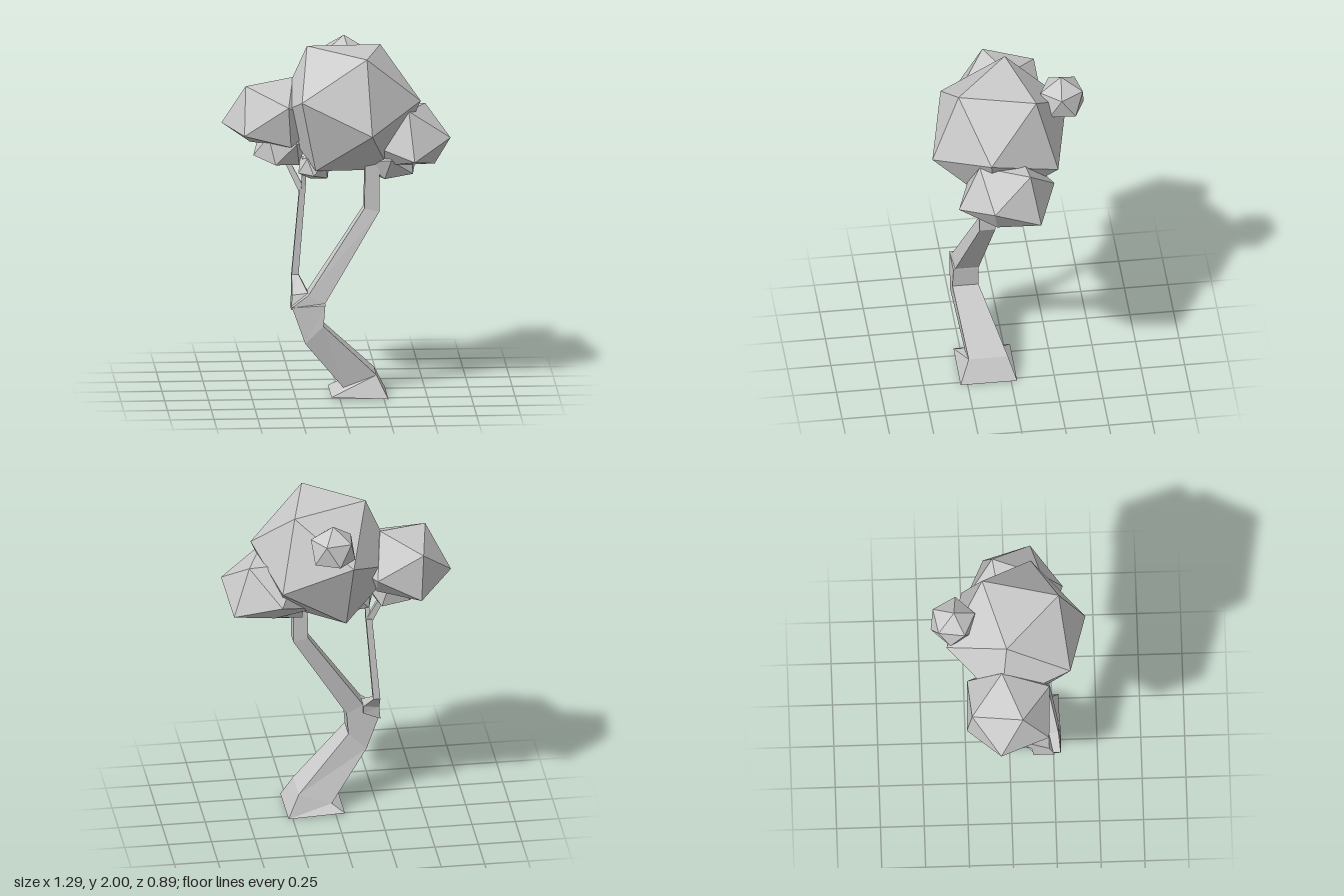
import * as THREE from 'three';

const material = new THREE.MeshStandardMaterial({ color: 0xcccccc, flatShading: true });

// Orthonormal frame whose first axis is u and whose second leans towards v
function frame(u, v) {
  const x = u.clone().normalize();
  const z = u.clone().cross(v).normalize();
  return new THREE.Matrix4().makeBasis(x, z.clone().cross(x), z);
}

// Icosahedron with one corner along u, a neighbouring corner along v, and its underside flattened at floorY
function foliage(name, center, radius, u, v, floorY) {
  const geometry = new THREE.IcosahedronGeometry(radius, 0);
  const p = geometry.attributes.position;
  const corner = (i) => new THREE.Vector3().fromBufferAttribute(p, i);
  const turn = frame(new THREE.Vector3(...u), new THREE.Vector3(...v))
    .multiply(frame(corner(0), corner(1)).transpose());
  geometry.applyMatrix4(turn).translate(...center);
  for (let i = 0; i < p.count; i++) p.setY(i, Math.max(p.getY(i), floorY));
  geometry.computeVertexNormals();
  const mesh = new THREE.Mesh(geometry, material);
  mesh.name = name;
  return mesh;
}

// Four-sided limb; each ring is [leftX, leftY, rightX, rightY, frontZ, backZ]
function limb(name, rings) {
  const points = [], index = [];
  rings.forEach(([xl, yl, xr, yr, zf, zb], i) => {
    points.push(xl, yl, zf, xr, yr, zf, xr, yr, zb, xl, yl, zb);
    if (i === 0) return;
    for (let j = 0; j < 4; j++) {
      const a = (i - 1) * 4 + j, b = (i - 1) * 4 + (j + 1) % 4;
      index.push(a, b, b + 4, a, b + 4, a + 4);
    }
  });
  const t = (rings.length - 1) * 4;
  index.push(0, 2, 1, 0, 3, 2, t, t + 1, t + 2, t, t + 2, t + 3);
  const indexed = new THREE.BufferGeometry();
  indexed.setAttribute('position', new THREE.Float32BufferAttribute(points, 3));
  indexed.setIndex(index);
  const geometry = indexed.toNonIndexed();
  geometry.computeVertexNormals();
  const mesh = new THREE.Mesh(geometry, material);
  mesh.name = name;
  return mesh;
}

export function createModel() {
  const tree = new THREE.Group();
  tree.name = 'tree';

  // Trunk with flared foot, bending left and then right up into the crown
  tree.add(limb('trunk', [
    [-0.05, 0.015, 0.275, 0, 0.29, -0.035],
    [0.02, 0.06, 0.21, 0.13, 0.235, 0.01],
    [-0.2, 0.33, -0.095, 0.43, 0.29, 0.14],
    [-0.275, 0.54, -0.085, 0.55, 0.285, 0.14],
    [-0.18, 0.61, -0.085, 0.56, 0.275, 0.14],
    [0.145, 1.09, 0.23, 1.07, 0.175, 0.085],
    [0.15, 1.4, 0.23, 1.4, 0.175, 0.085],
  ]));

  // Thin side branch and its two twigs
  tree.add(limb('sideBranch', [
    [-0.278, 0.52, -0.18, 0.56, 0.25, 0.13],
    [-0.27, 0.6, -0.18, 0.61, 0.22, 0.12],
    [-0.265, 0.69, -0.225, 0.69, 0.085, 0.045],
    [-0.222, 1.19, -0.187, 1.19, 0.105, 0.07],
  ]));
  tree.add(limb('outerTwig', [
    [-0.222, 1.17, -0.195, 1.2, 0.1, 0.075],
    [-0.32, 1.38, -0.295, 1.39, 0.08, 0.055],
  ]));
  tree.add(limb('innerTwig', [
    [-0.212, 1.17, -0.187, 1.17, 0.1, 0.075],
    [-0.205, 1.38, -0.18, 1.38, 0.13, 0.105],
  ]));

  // Crown and surrounding leaf clumps
  tree.add(
    foliage('crown', [0.06, 1.65, 0.04], 0.424, [-0.23, 0.35, -0.06], [0.2, 0.33, -0.19], 1.3),
    foliage('rightClump', [-0.375, 1.56, -0.018], 0.285, [-0.15, 0.227, 0.08], [-0.185, 0.054, 0.21], 1.455),
    foliage('leftClump', [0.381, 1.42, 0.039], 0.285, [0.26, 0.07, 0.1], [0.13, 0.23, -0.124], 1.335),
    foliage('backClump', [0.06, 1.855, -0.32], 0.142, [-0.025, -0.06, -0.13], [-0.09, 0.07, -0.07], 1.755),
    foliage('leftUnderClump', [0.3, 1.35, 0.075], 0.165, [-0.05, 0.13, 0.04], [0.12, 0.08, 0.05], 1.26),
    foliage('rightUnderClump', [-0.33, 1.42, 0.05], 0.16, [-0.15, -0.03, 0.03], [-0.06, 0.1, 0.11], 1.335),
    foliage('smallUnderClump', [-0.14, 1.32, 0.12], 0.1, [-0.08, -0.02, 0.03], [-0.03, 0.07, 0.06], 1.26),
  );
  return tree;
}
